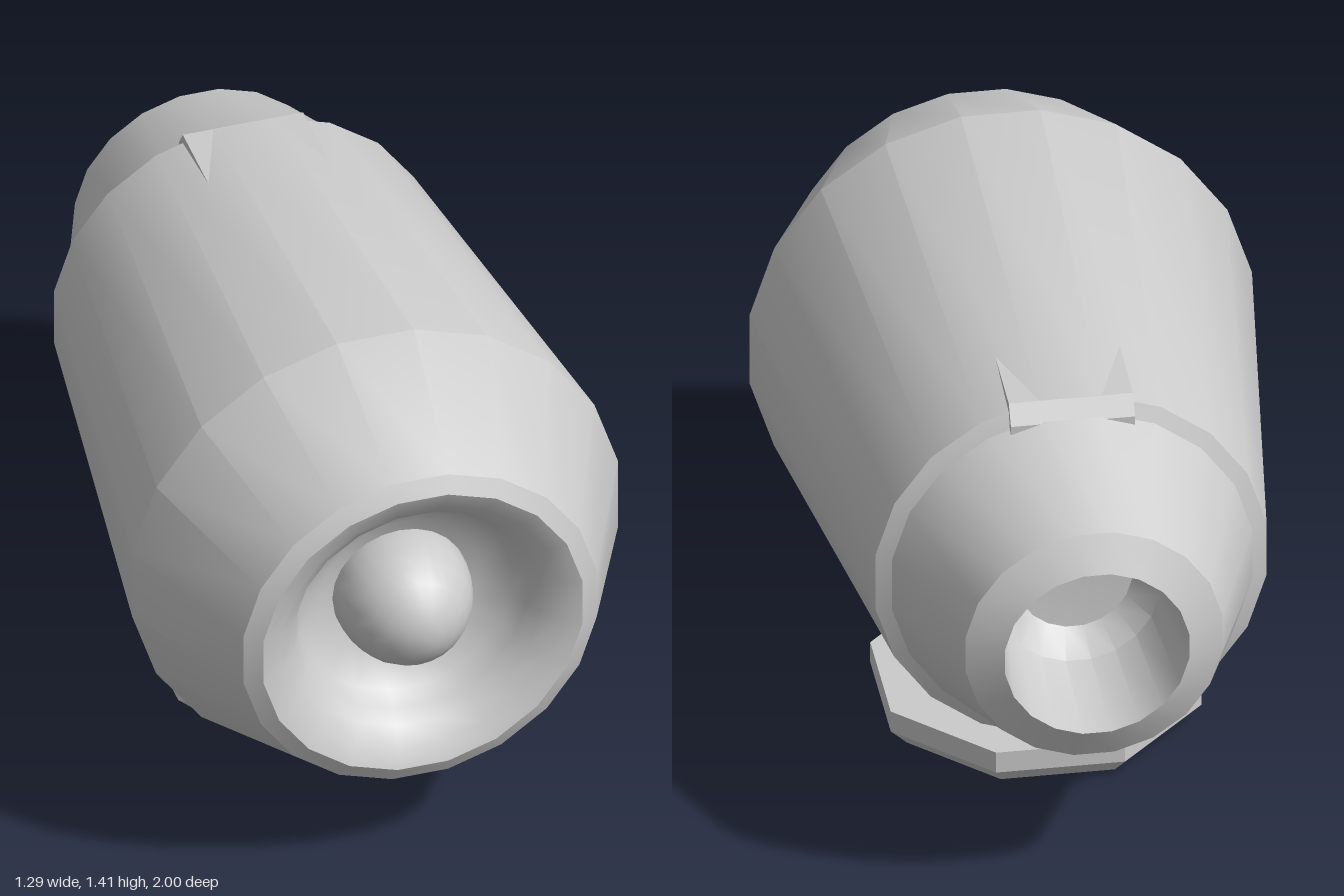
import * as THREE from 'three';
import { toCreasedNormals } from 'three/addons/utils/BufferGeometryUtils.js';

const AXIS_Y = 0.765;
const SIDES = 20;

export function createModel() {
  const model = new THREE.Group();
  const grey = new THREE.MeshStandardMaterial({ color: 0xcccccc, side: THREE.DoubleSide });

  function add(name, geometry, crease = 0.62) {
    const mesh = new THREE.Mesh(toCreasedNormals(geometry, crease), grey);
    mesh.name = name;
    model.add(mesh);
    return mesh;
  }

  // Ring part turned about the z axis from [radius, z] points, flat side up
  function turned(name, profile) {
    const points = profile.map(([r, z]) => new THREE.Vector2(r, z));
    const geometry = new THREE.LatheGeometry(points, SIDES, Math.PI / SIDES);
    geometry.rotateX(Math.PI / 2);
    add(name, geometry).position.y = AXIS_Y;
  }

  // Slab with a [z, y] side outline, centred across x
  function slab(name, outline, width) {
    const shape = new THREE.Shape(outline.map(([z, y]) => new THREE.Vector2(-z, y)));
    const geometry = new THREE.ExtrudeGeometry(shape, { depth: width, bevelEnabled: false });
    geometry.translate(0, 0, -width / 2).rotateY(Math.PI / 2);
    add(name, geometry);
  }

  // Main housing and its stepped rear edge
  turned('shell', [[0.465, -0.595], [0.51, -0.575], [0.655, 0.56], [0.476, 0.945]]);

  // Tapered rear nozzle with an open bore
  turned('nozzle', [
    [0, -0.62], [0.15, -0.63], [0.21, -0.7], [0.24, -1],
    [0.335, -0.95], [0.47, -0.595],
  ]);

  // Front rim and stepped dish
  turned('frontDish', [
    [0.476, 0.945], [0.43, 0.97], [0.38, 0.95], [0.335, 0.91], [0.31, 0.87],
    [0.285, 0.82], [0.21, 0.77], [0, 0.74],
  ]);

  // Ball in the dish, its pole pointing forward
  const ball = new THREE.SphereGeometry(0.18, 24, 12);
  ball.rotateX(Math.PI / 2).scale(1, 1, 1.2);
  add('ball', ball).position.set(0, AXIS_Y, 0.784);

  // Flat strip on top, easing the shell into the nozzle
  slab('topStrip', [[-0.34, 1.2], [-0.34, 1.272], [-0.575, 1.269], [-0.61, 1.22], [-0.61, 1.15]], 0.32);

  // Foot: octagonal plate with a bevelled underside
  const octagon = 1 / Math.cos(Math.PI / 8);
  const foot = new THREE.LatheGeometry(
    [[0, 0], [0.355, 0], [0.4, 0.05], [0.4, 0.11], [0, 0.11]]
      .map(([r, y]) => new THREE.Vector2(r * octagon, y)), 8, Math.PI / 8);
  add('foot', foot, 0.5).position.z = -0.008;

  // Collar and forward-leaning neck
  const collar = new THREE.CylinderGeometry(0.25 * octagon, 0.26 * octagon, 0.03, 8);
  collar.rotateY(Math.PI / 8).scale(1, 1, 0.7);
  add('collar', collar, 0.5).position.set(0, 0.123, -0.018);
  slab('neck', [
    [0.15, 0.11], [0.13, 0.145], [0.205, 0.19], [0.2, 0.205],
    [0.05, 0.235], [-0.04, 0.235], [-0.19, 0.14], [-0.19, 0.11],
  ], 0.47);

  return model;
}
